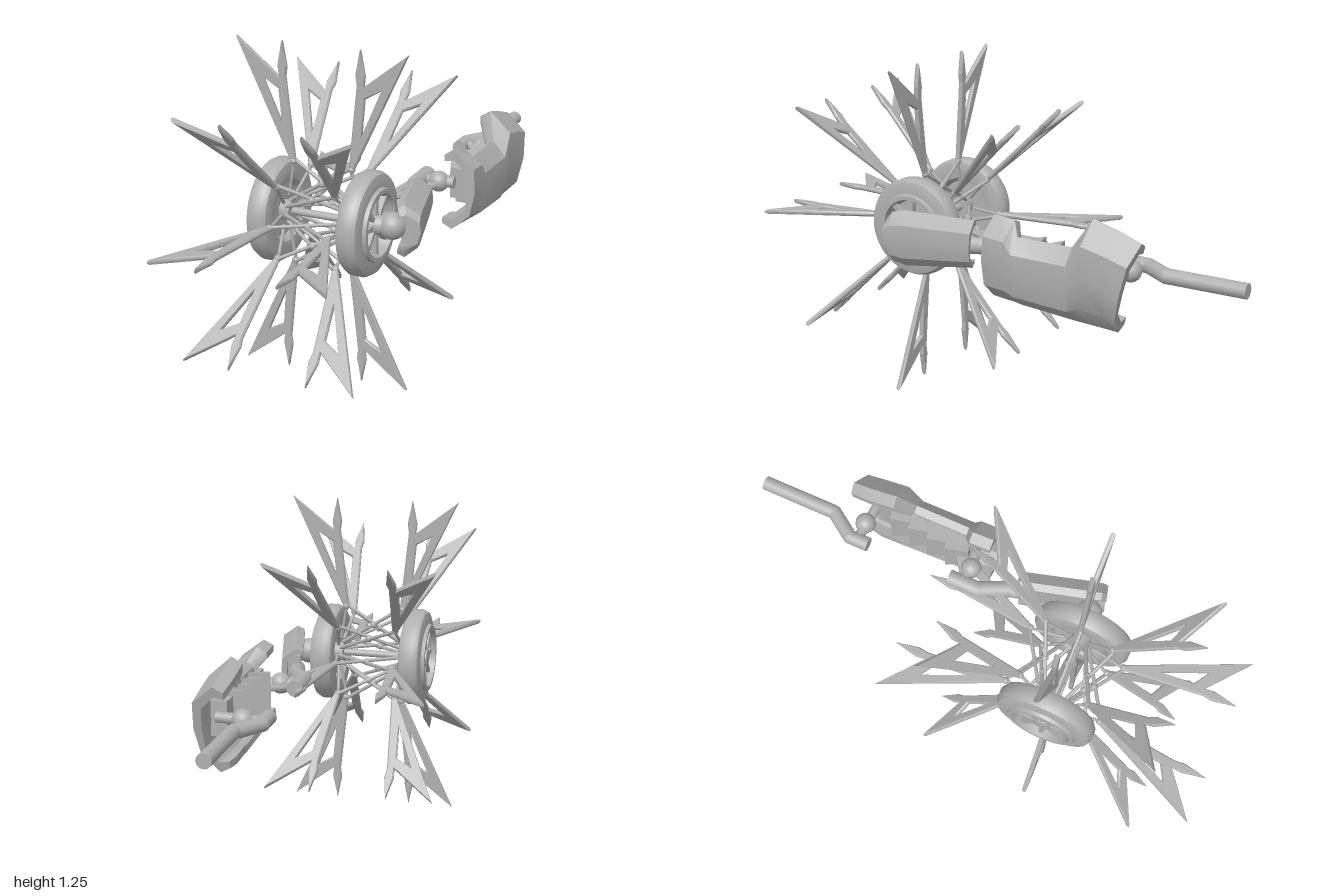
import * as THREE from 'three';
import { toCreasedNormals } from 'three/addons/utils/BufferGeometryUtils.js';

const grey = new THREE.MeshStandardMaterial({ color: 0xb0b0b0 });
grey.name = 'plain grey';

function add(parent, name, geometry, x = 0, y = 0, z = 0) {
  const mesh = new THREE.Mesh(geometry, grey);
  mesh.name = name;
  mesh.position.set(x, y, z);
  parent.add(mesh);
  return mesh;
}

// Round bar between two points
function strut(parent, name, a, b, r0, r1 = r0, sides = 12) {
  const p = new THREE.Vector3(...a), q = new THREE.Vector3(...b);
  const mesh = add(parent, name, new THREE.CylinderGeometry(r1, r0, p.distanceTo(q), sides));
  mesh.position.copy(p).add(q).multiplyScalar(0.5);
  mesh.quaternion.setFromUnitVectors(new THREE.Vector3(0, 1, 0), q.sub(p).normalize());
  return mesh;
}

// Bent bar with ball-rounded corners
function bentBar(parent, name, points, r) {
  for (let i = 0; i + 1 < points.length; i++) {
    strut(parent, name, points[i], points[i + 1], r);
    if (i) add(parent, name + 'Bend', new THREE.SphereGeometry(r, 12, 8), ...points[i]);
  }
}

const ball = (parent, name, r, ...p) => add(parent, name, new THREE.SphereGeometry(r, 18, 12), ...p);

// C-shaped section, open toward -x: [across 0..1, up 0..1]
const channel = [[0, 0.06], [0.3, 0], [0.85, 0.2], [1, 0.5], [0.95, 0.8], [0.3, 1], [0, 0.94],
  [0, 0.86], [0.3, 0.88], [0.7, 0.74], [0.75, 0.5], [0.7, 0.26], [0.3, 0.12], [0, 0.14]];

// Armour shell lofted through stations [zBottom, yBottom, xBottom, zTop, yTop, xTop], outer side at xOut
function armour(stations, xOut) {
  const n = channel.length, position = [], index = [];
  const mix = THREE.MathUtils.lerp;
  for (const [zb, yb, xb, zt, yt, xt] of stations) {
    for (const [p, q] of channel) position.push(mix(mix(xb, xt, q), xOut, p), mix(yb, yt, q), mix(zb, zt, q));
  }
  for (let i = 0; i + 1 < stations.length; i++) {
    for (let j = 0; j < n; j++) {
      const k = (j + 1) % n, a = i * n + j, b = i * n + k;
      index.push(a, b, b + n, a, b + n, a + n);
    }
  }
  const last = (stations.length - 1) * n;
  const contour = channel.map(([x, y]) => new THREE.Vector2(x, y));
  for (const [a, b, c] of THREE.ShapeUtils.triangulateShape(contour, [])) {
    index.push(a, c, b, last + a, last + b, last + c);
  }
  const geometry = new THREE.BufferGeometry();
  geometry.setAttribute('position', new THREE.Float32BufferAttribute(position, 3));
  geometry.setIndex(index);
  return toCreasedNormals(geometry, 0.6);
}

// Forked blade with a triangular window, drawn as (distance from middle, radius)
function bladeGeometry() {
  const v = (list) => list.map(([x, y]) => new THREE.Vector2(x, y));
  const shape = new THREE.Shape(v([[0.112, 0.165], [0.13, 0.2], [0.33, 0.625], [0.165, 0.497],
    [0.169, 0.535], [0.15, 0.625], [0.132, 0.535], [0.137, 0.5], [0.105, 0.2]]));
  shape.holes.push(new THREE.Path(v([[0.228, 0.487], [0.155, 0.32], [0.168, 0.452]])));
  const geometry = new THREE.ExtrudeGeometry(shape, {
    depth: 0.006, bevelEnabled: true, bevelThickness: 0.006, bevelSize: 0.005, bevelOffset: -0.005, bevelSegments: 1,
  });
  return geometry.translate(0, 0, -0.003);
}

function wheel(parent) {
  const profile = [[0, 0.16], [0.1, 0.16], [0.115, 0.135], [0.15, 0.13], [0.178, 0.137], [0.19, 0.155],
    [0.19, 0.192], [0.18, 0.21], [0.155, 0.217], [0.135, 0.217], [0.13, 0.23], [0.115, 0.23], [0.105, 0.18], [0, 0.18]];
  const tyre = new THREE.LatheGeometry(profile.map(([r, u]) => new THREE.Vector2(r, u)), 48);
  add(parent, 'wheel', toCreasedNormals(tyre.rotateZ(-Math.PI / 2), 0.6));
  add(parent, 'wheelHub', new THREE.CylinderGeometry(0.032, 0.04, 0.1, 24).rotateZ(-Math.PI / 2), 0.17);
  for (let i = 0; i < 8; i++) {
    const spoke = add(parent, 'wheelSpoke', new THREE.BoxGeometry(0.022, 0.09, 0.016).translate(0, 0.07, 0), 0.203);
    spoke.rotation.x = i * Math.PI / 4;
  }
}

export function createModel() {
  const model = new THREE.Group();
  model.name = 'bladedWheelArm';

  // Twin wheels, blades and scissor linkage, one half per side
  const rotor = new THREE.Group();
  rotor.name = 'rotor';
  rotor.position.set(-0.04, 0.625, 0.375);
  model.add(rotor);
  const blade = bladeGeometry();
  for (const turn of [0, Math.PI]) {
    const half = new THREE.Group();
    half.name = 'rotorHalf';
    half.rotation.y = turn;
    rotor.add(half);
    wheel(half);
    for (let i = 0; i < 8; i++) {
      const arm = new THREE.Group();
      arm.name = 'bladeArm';
      arm.rotation.x = i * Math.PI / 4;
      half.add(arm);
      add(arm, 'blade', blade);
      ball(arm, 'bladeKnuckle', 0.013, 0.115, 0.19, 0);
      strut(arm, 'scissorBar', [0.113, 0.195, 0.005], [-0.13, 0.04, 0.005], 0.007, 0.007, 8);
      strut(arm, 'bladeStay', [0.135, 0.06, 0], [0.113, 0.185, 0], 0.006, 0.006, 8);
      if (!turn) ball(arm, 'scissorPivot', 0.014, 0, 0.12, 0);
    }
  }
  strut(rotor, 'axle', [-0.16, 0, 0], [0.16, 0, 0], 0.014);

  // Shoulder joint beside the wheel
  strut(model, 'shoulderShaft', [0.15, 0.625, 0.375], [0.22, 0.625, 0.365], 0.04, 0.03, 18);
  ball(model, 'shoulderBall', 0.05, 0.225, 0.625, 0.36);

  // Upper arm, angled outward toward the front
  const upperArm = new THREE.Group();
  upperArm.name = 'upperArm';
  upperArm.position.set(0.255, 0, 0.235);
  upperArm.rotation.y = 0.27;
  model.add(upperArm);
  const level = (z, bottom, top, x) => [z, bottom, x, z, top, x];
  add(upperArm, 'upperArmArmour', armour([
    [-0.16, 0.525, -0.04, -0.17, 0.71, -0.04], level(0.1, 0.51, 0.727, -0.045),
    level(0.15, 0.525, 0.718, -0.04), level(0.17, 0.56, 0.69, -0.03)], 0.045));
  add(upperArm, 'upperArmCore', new THREE.BoxGeometry(0.05, 0.11, 0.27), -0.005, 0.62, -0.01);

  // Elbow link and ball
  bentBar(model, 'elbowLink', [[0.215, 0.61, 0.15], [0.19, 0.615, 0.05], [0.13, 0.63, -0.06], [0.13, 0.63, -0.18]], 0.032);
  ball(model, 'elbowBall', 0.04, 0.2, 0.63, -0.12);
  strut(model, 'elbowPin', [0.13, 0.63, -0.12], [0.26, 0.63, -0.13], 0.022);

  // Forearm armour with a notch along its upper edge
  add(model, 'forearmArmour', armour([
    [-0.57, 0.43, 0.25, -0.65, 0.765, 0.245], [-0.53, 0.43, 0.24, -0.56, 0.795, 0.235],
    [-0.44, 0.435, 0.24, -0.46, 0.822, 0.235], [-0.4, 0.437, 0.24, -0.4, 0.72, 0.29],
    [-0.18, 0.455, 0.24, -0.18, 0.72, 0.29], [-0.15, 0.46, 0.24, -0.15, 0.772, 0.245],
    [-0.06, 0.47, 0.24, -0.065, 0.778, 0.245]], 0.368));

  // Overlapping rib blocks inside the forearm
  add(model, 'forearmSpine', new THREE.BoxGeometry(0.06, 0.13, 0.42), 0.295, 0.62, -0.34);
  for (let i = 0; i < 4; i++) {
    const rib = add(model, 'forearmRib',
      new THREE.CylinderGeometry(0.5, 0.68, 1, 4, 1).rotateY(Math.PI / 4).rotateX(Math.PI / 2).toNonIndexed(),
      0.26 + i * 0.008, 0.62, -0.2 - i * 0.08);
    rib.geometry.computeVertexNormals();
    rib.scale.set(0.1, 0.17, 0.09);
    rib.rotation.y = 0.2;
  }

  // Wrist ball and cranked handle
  strut(model, 'wristPin', [0.12, 0.63, -0.57], [0.3, 0.63, -0.56], 0.02);
  ball(model, 'wristBall', 0.04, 0.2, 0.63, -0.57);
  bentBar(model, 'handle', [[0.122, 0.632, -0.52], [0.122, 0.632, -0.6], [0.19, 0.632, -0.7], [0.19, 0.632, -1]], 0.028);

  return model;
}
